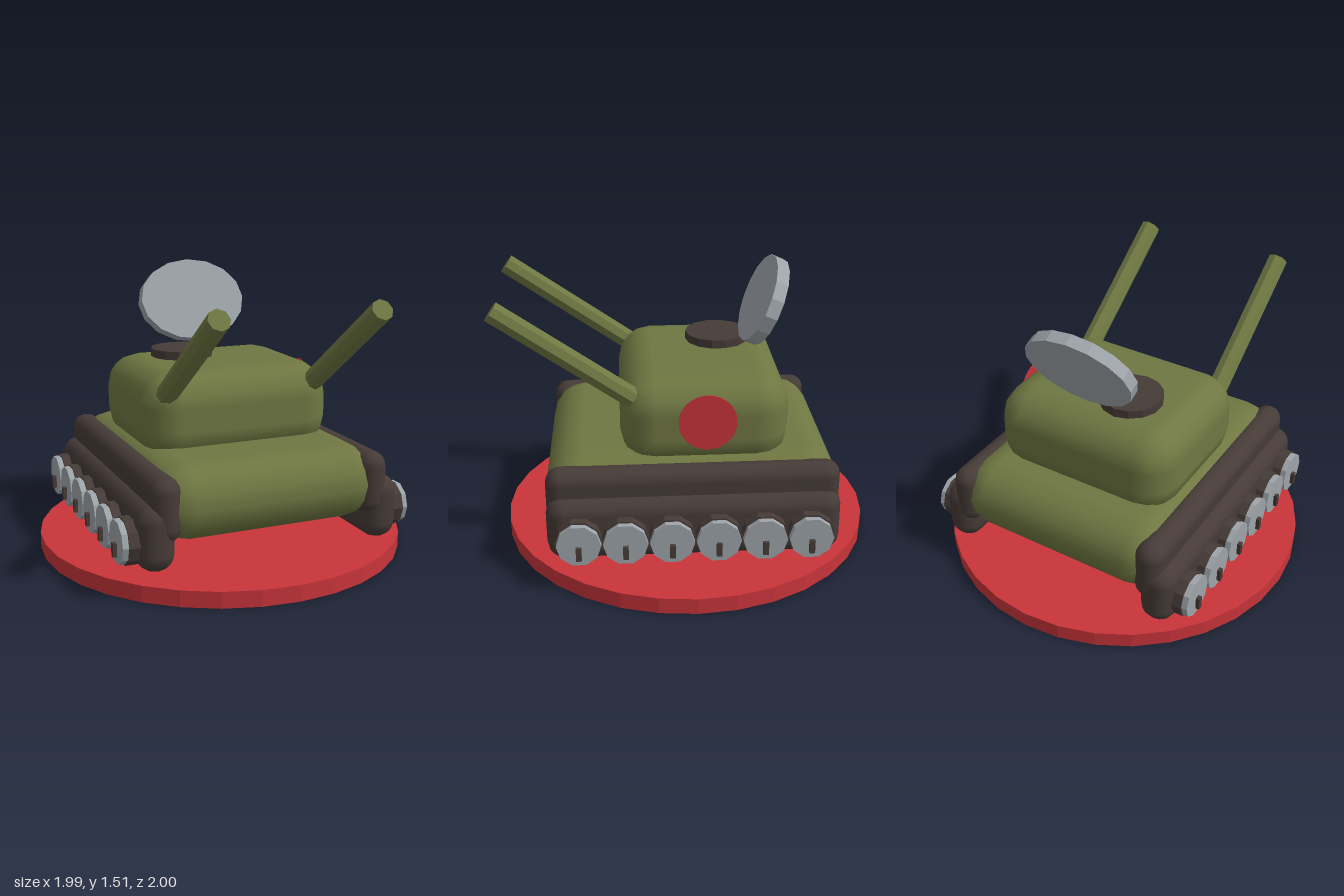
import * as THREE from 'three';
import { RoundedBoxGeometry } from 'three/addons/geometries/RoundedBoxGeometry.js';

const olive = new THREE.MeshStandardMaterial({ name: 'olive', color: 0x6f7742 });
const brown = new THREE.MeshStandardMaterial({ name: 'dark brown', color: 0x463b37 });
const silver = new THREE.MeshStandardMaterial({ name: 'silver', color: 0x9da4a9 });
const red = new THREE.MeshStandardMaterial({ name: 'red', color: 0xc8343a });

export function createModel() {
  const model = new THREE.Group();
  model.name = 'tankOnBase';

  const add = (name, geometry, material, x, y, z, parent = model) => {
    const mesh = new THREE.Mesh(geometry, material);
    mesh.name = name;
    mesh.position.set(x, y, z);
    parent.add(mesh);
    return mesh;
  };
  // Faceted cylinder, standing along y
  const cylinder = (radius, height, sides) => {
    const g = new THREE.CylinderGeometry(radius, radius, height, sides).toNonIndexed();
    g.computeVertexNormals();
    return g;
  };
  // Coarse, smoothly shaded rounded block
  const block = (w, h, d, r) => new RoundedBoxGeometry(w, h, d, 2, r);

  // Round display base
  add('base', cylinder(0.995, 0.085, 32), red, 0, 0.0425, 0);

  // Hull and turret
  add('hull', block(1.24, 0.39, 1.51, 0.19), olive, 0, 0.435, -0.005);
  add('turret', block(1.05, 0.48, 0.87, 0.18), olive, 0, 0.77, -0.075);

  // Hatch on the roof
  add('hatch', cylinder(0.17, 0.06, 14), brown, -0.15, 1.025, -0.18);

  // Tilted oval dish floating above the rear of the roof
  const dish = add('dish', cylinder(1, 0.068, 16), silver, 0, 1.277, -0.414);
  dish.scale.set(0.308, 1, 0.235);
  dish.rotation.x = 1.163;

  // Red roundel on the left side of the turret
  const roundel = add('roundel', cylinder(0.148, 0.006, 32), red, 0.527, 0.81, -0.08);
  roundel.rotation.z = Math.PI / 2;

  // Two raised guns, tracks and running gear, mirrored
  for (const side of [-1, 1]) {
    const gun = add('gun', cylinder(0.056, 0.83, 8), olive, side * 0.413, 1.142, 0.63);
    gun.rotation.x = Math.PI / 2 - 0.609;

    const track = new THREE.Group();
    track.name = side > 0 ? 'leftTrack' : 'rightTrack';
    model.add(track);
    add('trackGuard', block(0.155, 0.33, 1.5, 0.077), brown, side * 0.565, 0.435, -0.005, track);
    add('trackBelt', block(0.19, 0.34, 1.5, 0.09), brown, side * 0.615, 0.3, -0.005, track);

    for (let i = 0; i < 6; i++) {
      const z = 0.58 - i * 0.233;
      const tyre = add('wheelTyre', cylinder(0.12, 0.1, 10), brown, side * 0.705, 0.275, z, track);
      const disc = add('wheelDisc', cylinder(0.112, 0.08, 10), silver, side * 0.746, 0.275, z, track);
      tyre.rotation.z = disc.rotation.z = Math.PI / 2;
      add('wheelPeg', new THREE.BoxGeometry(0.05, 0.07, 0.028), brown, side * 0.781, 0.237, z, track);
    }
  }
  return model;
}
